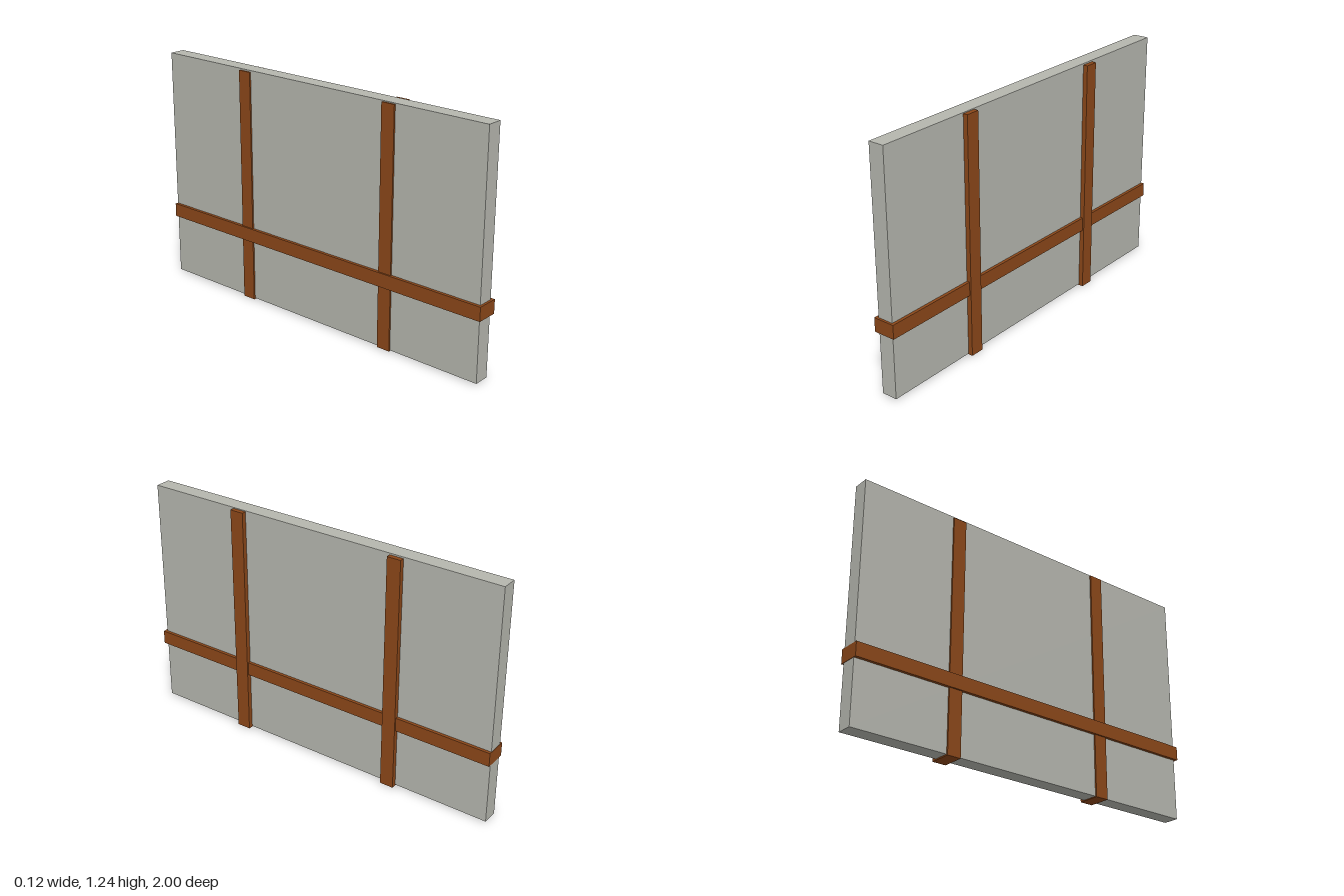
import * as THREE from 'three';

const grey = new THREE.MeshStandardMaterial({ color: 0xb5b6ae });
const brown = new THREE.MeshStandardMaterial({ color: 0x8b4719 });

// Box given by its lower and upper limits on each axis
function slab(name, [x0, x1], [y0, y1], [z0, z1], material) {
  const mesh = new THREE.Mesh(new THREE.BoxGeometry(x1 - x0, y1 - y0, z1 - z0), material);
  mesh.position.set((x0 + x1) / 2, (y0 + y1) / 2, (z0 + z1) / 2);
  mesh.name = name;
  return mesh;
}

export function createModel() {
  const group = new THREE.Group();
  group.name = 'timberFramedWall';

  // Plain wall panel
  group.add(slab('wallPanel', [-0.046, 0.036], [0.006, 1.237], [-0.998, 0.988], grey));

  // Horizontal beam, showing on both faces and both ends
  group.add(slab('horizontalBeam', [-0.062, 0.052], [0.328, 0.4], [-1, 1], brown));

  // Two upright posts through the panel
  group.add(slab('frontPost', [-0.054, 0.06], [0.002, 1.232], [0.413, 0.487], brown));
  group.add(slab('backPost', [-0.054, 0.06], [0, 1.229], [-0.491, -0.418], brown));

  return group;
}
